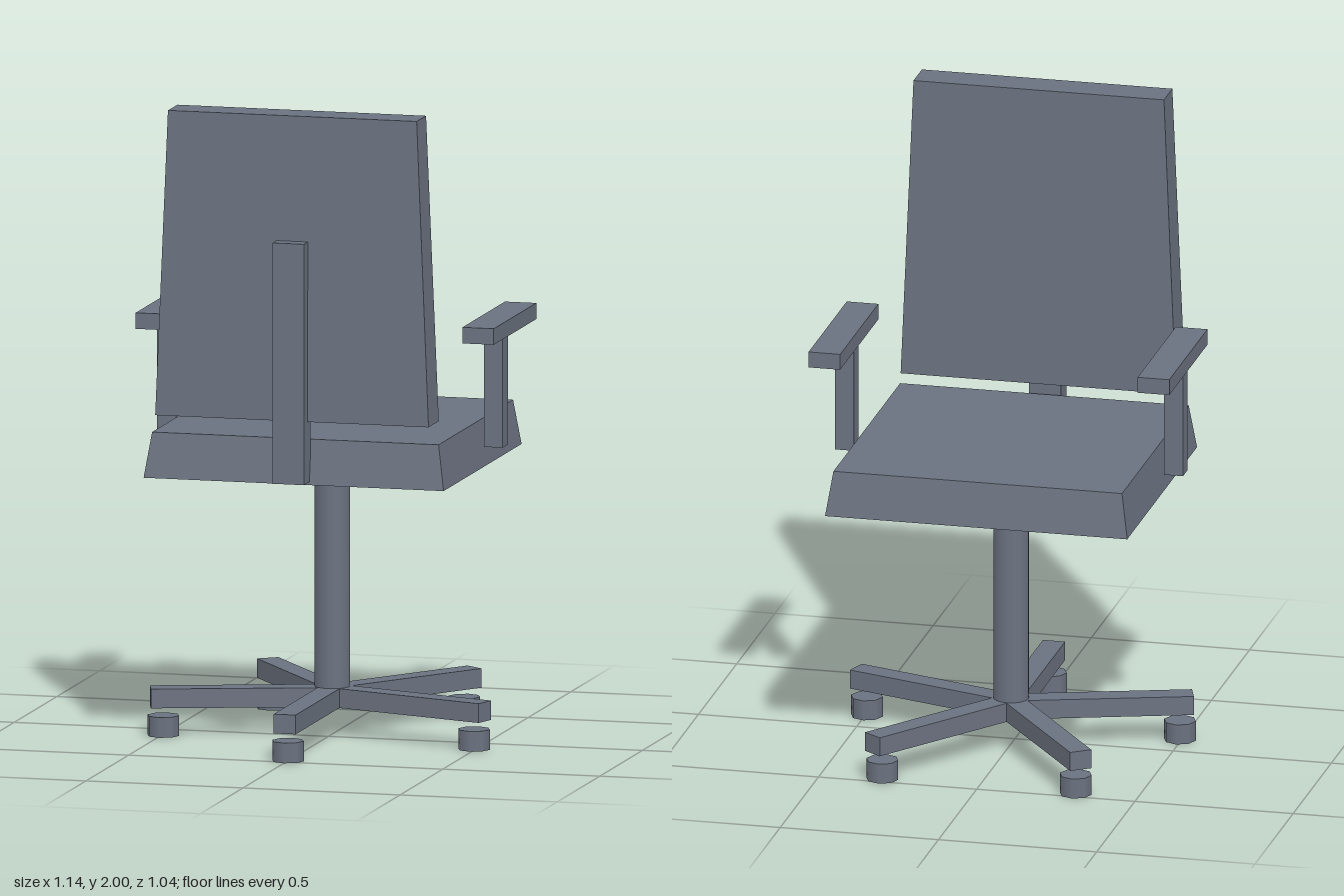
import * as THREE from 'three';

const AXIS_Z = -0.048; // z of the swivel column

export function createModel() {
  const chair = new THREE.Group();
  chair.name = 'officeChair';
  const grey = new THREE.MeshStandardMaterial({ color: 0x6b7280 });
  grey.name = 'slateGrey';

  const add = (name, geometry, x, y, z, parent = chair) => {
    const mesh = new THREE.Mesh(geometry, grey);
    mesh.name = name;
    mesh.position.set(x, y, z);
    parent.add(mesh);
    return mesh;
  };

  // Box whose top face is scaled about its centre
  const taperedBox = (w, h, d, topScale) => {
    const g = new THREE.BoxGeometry(w, h, d);
    const p = g.attributes.position;
    for (let i = 0; i < p.count; i++) {
      if (p.getY(i) > 0) p.setXYZ(i, p.getX(i) * topScale, p.getY(i), p.getZ(i) * topScale);
    }
    g.computeVertexNormals();
    return g;
  };

  // Seat, backrest and the post behind it
  add('seat', taperedBox(0.955, 0.14, 0.914, 0.955), 0, 0.92, -0.05);
  add('backrest', taperedBox(0.87, 0.95, 0.121, 0.91), 0, 1.525, 0.367);
  add('backPost', new THREE.BoxGeometry(0.1, 0.75, 0.075), 0, 1.235, 0.4325);

  // Swivel column
  add('column', new THREE.CylinderGeometry(0.055, 0.055, 0.74, 16), 0, 0.48, AXIS_Z);

  // Armrests on both sides
  for (const side of [-1, 1]) {
    const arm = new THREE.Group();
    arm.name = side > 0 ? 'leftArmrest' : 'rightArmrest';
    add('armSupport', new THREE.BoxGeometry(0.06, 0.35, 0.06), side * 0.52, 1.095, AXIS_Z, arm);
    add('armPad', new THREE.BoxGeometry(0.1, 0.05, 0.5), side * 0.52, 1.295, -0.09, arm);
    chair.add(arm);
  }

  // Five-spoke base with a caster under each tip
  for (let i = 0; i < 5; i++) {
    const a = (i * Math.PI * 2) / 5;
    const s = Math.sin(a), c = Math.cos(a);
    const leg = add('baseLeg', new THREE.BoxGeometry(0.07, 0.06, 0.56), s * 0.28, 0.12, AXIS_Z + c * 0.28);
    leg.rotation.y = a;
    add('caster', new THREE.CylinderGeometry(0.05, 0.05, 0.063, 8), s * 0.52, 0.0315, AXIS_Z + c * 0.52);
  }
  return chair;
}
